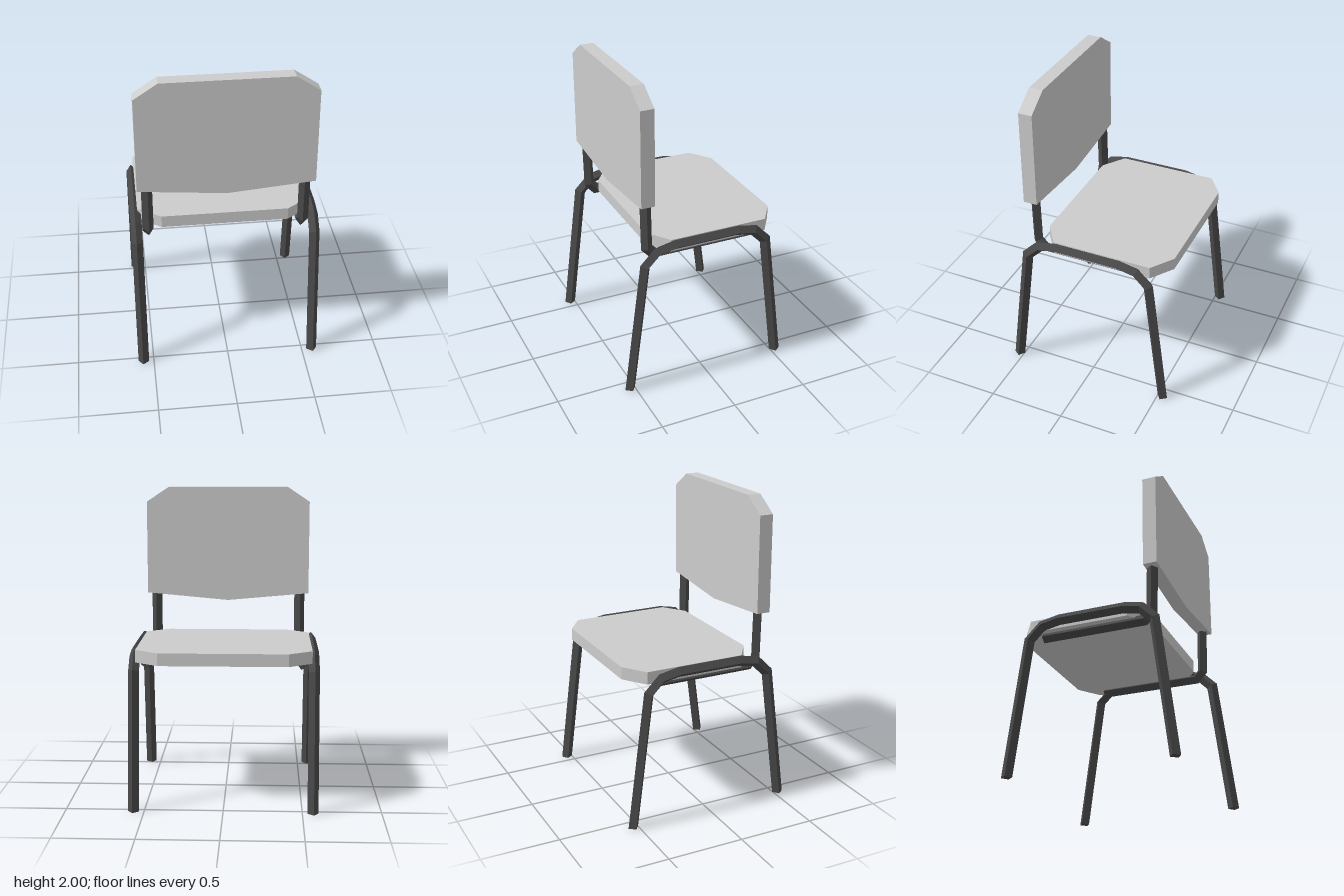
import * as THREE from 'three';

// Slightly twisted square tube section: [sideways, outward]
const SECTION = [[0.005, 0.035], [-0.035, 0.005], [-0.005, -0.035], [0.035, -0.005]];

// Mitred sweep of the section along a path of [z, y] points at a given x.
// side = 1 or -1 mirrors the section; flatEnds cuts both ends level with the floor.
function tubeGeometry(path, x, side, flatEnds) {
  const normals = path.slice(1).map(([z, y], i) =>
    new THREE.Vector2(y - path[i][1], path[i][0] - z).normalize());
  const rings = path.map(([z, y], i) => {
    const a = normals[Math.max(i - 1, 0)];
    const b = normals[Math.min(i, normals.length - 1)];
    const end = i === 0 || i === path.length - 1;
    const m = end && flatEnds
      ? new THREE.Vector2(1 / a.x, 0)
      : a.clone().add(b).divideScalar(1 + a.dot(b));
    return SECTION.map(([u, w]) => new THREE.Vector3(side * (x + u), y + m.y * w, z + m.x * w));
  });
  const points = [];
  const quad = (a, b, c, d) =>
    side > 0 ? points.push(a, b, c, a, c, d) : points.push(a, c, b, a, d, c);
  for (let i = 0; i + 1 < rings.length; i++) {
    for (let j = 0; j < 4; j++) {
      const k = (j + 1) % 4;
      quad(rings[i][j], rings[i + 1][j], rings[i + 1][k], rings[i][k]);
    }
  }
  quad(...rings[0]);
  quad(...rings[rings.length - 1].slice().reverse());
  const geometry = new THREE.BufferGeometry().setFromPoints(points);
  geometry.computeVertexNormals();
  return geometry;
}

// Flat panel extruded from an outline
function panelGeometry(outline, depth) {
  const shape = new THREE.Shape(outline.map(([x, y]) => new THREE.Vector2(x, y)));
  return new THREE.ExtrudeGeometry(shape, { depth, bevelEnabled: false });
}

export function createModel() {
  const model = new THREE.Group();
  model.name = 'chair';
  const padMaterial = new THREE.MeshStandardMaterial({ color: 0xcccccc, flatShading: true });
  const tubeMaterial = new THREE.MeshStandardMaterial({ color: 0x484848, flatShading: true });
  const add = (name, geometry, material) => {
    const mesh = new THREE.Mesh(geometry, material);
    mesh.name = name;
    model.add(mesh);
  };

  // Seat: rectangle with four cut corners
  const seat = panelGeometry([
    [-0.405, -0.34], [0.405, -0.34], [0.555, -0.235], [0.555, 0.42],
    [0.405, 0.525], [-0.405, 0.525], [-0.555, 0.42], [-0.555, -0.235],
  ], 0.08);
  seat.rotateX(-Math.PI / 2).translate(0, 0.94, 0);
  add('seat', seat, padMaterial);

  // Backrest: cut top corners, shallow point along the lower edge
  const back = panelGeometry([
    [0, 1.225], [0.555, 1.275], [0.555, 1.9], [0.405, 2],
    [-0.405, 2], [-0.555, 1.9], [-0.555, 1.275],
  ], 0.09);
  back.translate(0, 0, 0.342);
  add('backrest', back, padMaterial);

  // Each side: one bent tube for two legs and rail, one for the back support
  const half = [[0.532, 0], [0.418, 0.882], [0.333, 0.967], [0.217, 0.99]];
  const legPath = [...half, ...half.map(([z, y]) => [-z, y]).reverse()];
  const supportPath = [[0.382, 1.32], [0.375, 0.97], [0.328, 0.92], [-0.353, 0.92]];
  for (const [side, label] of [[1, 'left'], [-1, 'right']]) {
    add(label + 'LegFrame', tubeGeometry(legPath, 0.567, side, true), tubeMaterial);
    add(label + 'BackSupport', tubeGeometry(supportPath, 0.494, side, false), tubeMaterial);
  }
  return model;
}
